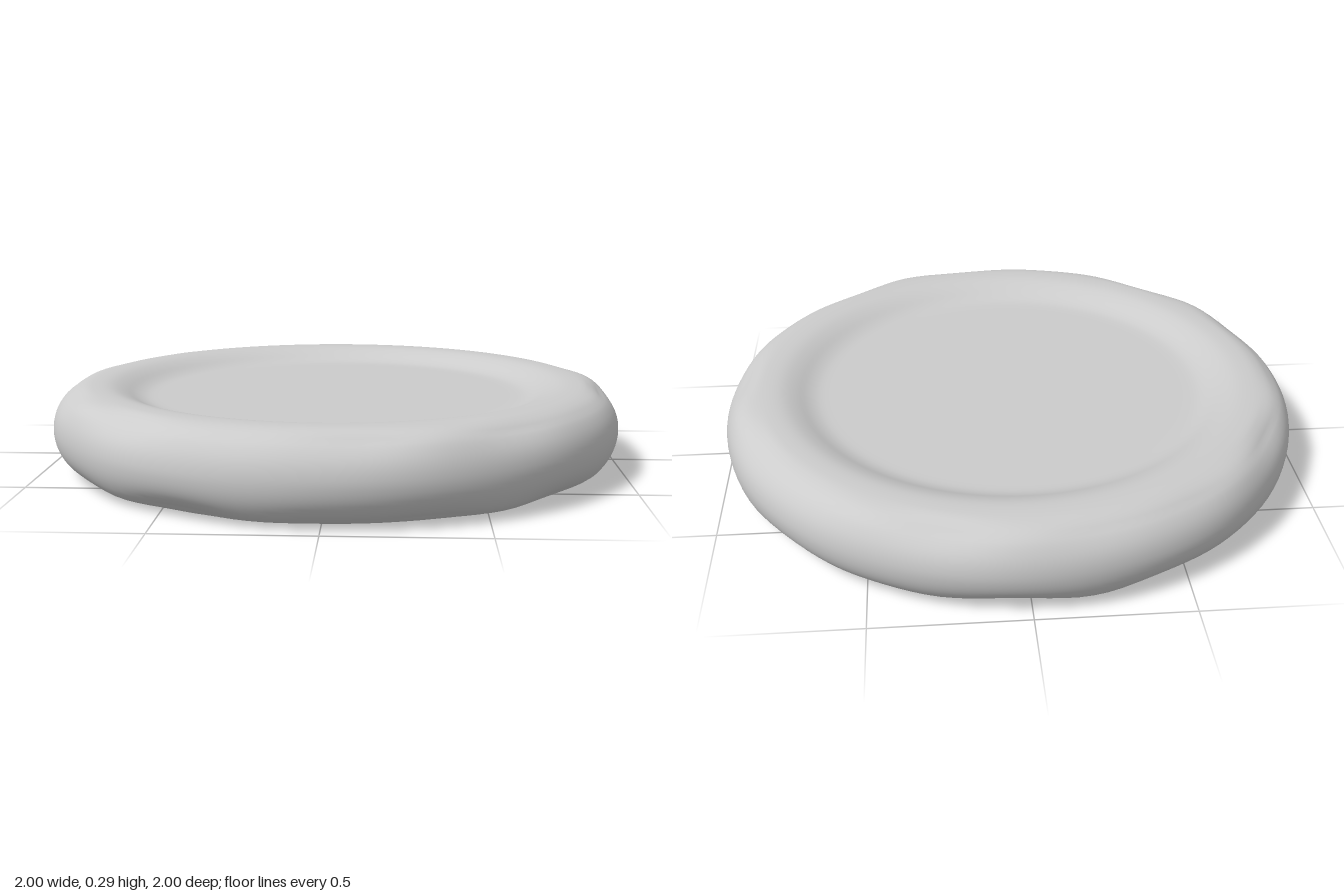
import * as THREE from 'three';

export function createModel() {
  const group = new THREE.Group();
  const mid = 0.155;

  // Upper half of the cross-section: [radius, height above the middle]
  const half = [
    [0.62, 0.095], [0.67, 0.097], [0.71, 0.108], [0.75, 0.127], [0.79, 0.141],
    [0.83, 0.146], [0.88, 0.144], [0.925, 0.135], [0.96, 0.113], [0.983, 0.078], [0.996, 0.04],
  ];
  const section = [
    ...half.map(([r, y]) => new THREE.Vector2(r, -y)),
    new THREE.Vector2(1, 0),
    ...half.map(([r, y]) => new THREE.Vector2(r, y)).reverse(),
  ];
  const curve = new THREE.SplineCurve(section);
  const profile = [
    new THREE.Vector2(0, -0.095),
    ...curve.getPoints(66),
    new THREE.Vector2(0, 0.095),
  ];
  const geometry = new THREE.LatheGeometry(profile, 128);

  // Slight hand-worn unevenness, limited to the rounded outer corners
  const pos = geometry.attributes.position;
  for (let i = 0; i < pos.count; i++) {
    const x = pos.getX(i), y = pos.getY(i), z = pos.getZ(i);
    const r = Math.hypot(x, z), a = Math.atan2(z, x);
    const corner = Math.max(0, 1 - Math.abs(r - 0.95) / 0.07) * Math.min(1, Math.abs(y) / 0.1);
    const phase = y > 0 ? 0.4 : 2.1;
    const wave = 0.5 + 0.3 * Math.sin(9 * a + phase) + 0.2 * Math.sin(14 * a + 2 * phase);
    const wear = 0.018 * corner * wave;
    pos.setXYZ(i, x * (1 - wear), y * (1 - 5 * wear) + mid, z * (1 - wear));
  }
  geometry.computeVertexNormals();

  // Match normals where the first and last columns of the lathe meet
  const normal = geometry.attributes.normal;
  const last = pos.count - profile.length;
  const n = new THREE.Vector3(), m = new THREE.Vector3();
  for (let j = 0; j < profile.length; j++) {
    n.fromBufferAttribute(normal, j).add(m.fromBufferAttribute(normal, last + j)).normalize();
    normal.setXYZ(j, n.x, n.y, n.z);
    normal.setXYZ(last + j, n.x, n.y, n.z);
  }

  const disc = new THREE.Mesh(geometry, new THREE.MeshStandardMaterial({ color: 0xcccccc }));
  disc.name = 'rimmedDisc';
  group.add(disc);
  return group;
}
